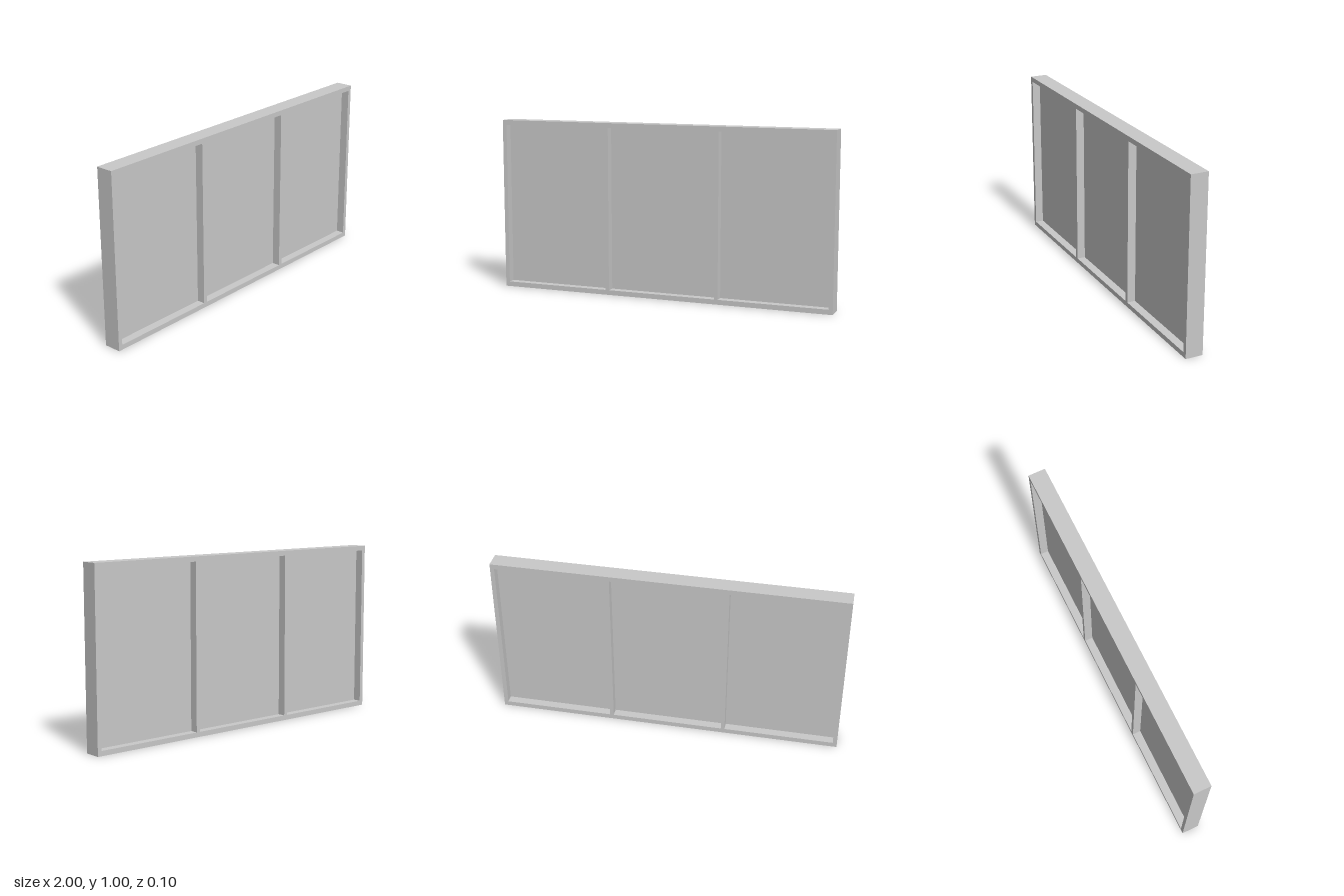
import * as THREE from 'three';

const WIDTH = 2, HEIGHT = 1, DEPTH = 0.1;
const SIDE = 0.024, RAIL = 0.028, POST_X = 0.333, POST_HALF = 0.011;
const PANE_DEPTH = 0.004;

export function createModel() {
  const grey = new THREE.MeshStandardMaterial({ color: 0xc8c8c8 });
  grey.name = 'lightGrey';
  const model = new THREE.Group();
  model.name = 'threePaneWindow';

  // Three openings between the side jambs and the two posts
  const inner = WIDTH / 2 - SIDE;
  const openings = [
    [-inner, -POST_X - POST_HALF],
    [-POST_X + POST_HALF, POST_X - POST_HALF],
    [POST_X + POST_HALF, inner],
  ];

  // Frame with posts, one solid outline with rectangular holes
  const outline = new THREE.Shape();
  outline.moveTo(-WIDTH / 2, 0).lineTo(WIDTH / 2, 0);
  outline.lineTo(WIDTH / 2, HEIGHT).lineTo(-WIDTH / 2, HEIGHT).closePath();
  for (const [x0, x1] of openings) {
    const hole = new THREE.Path();
    hole.moveTo(x0, RAIL).lineTo(x0, HEIGHT - RAIL);
    hole.lineTo(x1, HEIGHT - RAIL).lineTo(x1, RAIL).closePath();
    outline.holes.push(hole);
  }
  const frameGeometry = new THREE.ExtrudeGeometry(outline, { depth: DEPTH, bevelEnabled: false });
  frameGeometry.translate(0, 0, -DEPTH / 2);
  const frame = new THREE.Mesh(frameGeometry, grey);
  frame.name = 'frame';
  model.add(frame);

  // Thin panes halfway through the frame, recessed on both sides
  const names = ['rightPane', 'middlePane', 'leftPane'];
  openings.forEach(([x0, x1], i) => {
    const pane = new THREE.Mesh(new THREE.BoxGeometry(x1 - x0, HEIGHT - 2 * RAIL, PANE_DEPTH), grey);
    pane.name = names[i];
    pane.position.set((x0 + x1) / 2, HEIGHT / 2, 0);
    model.add(pane);
  });

  return model;
}
